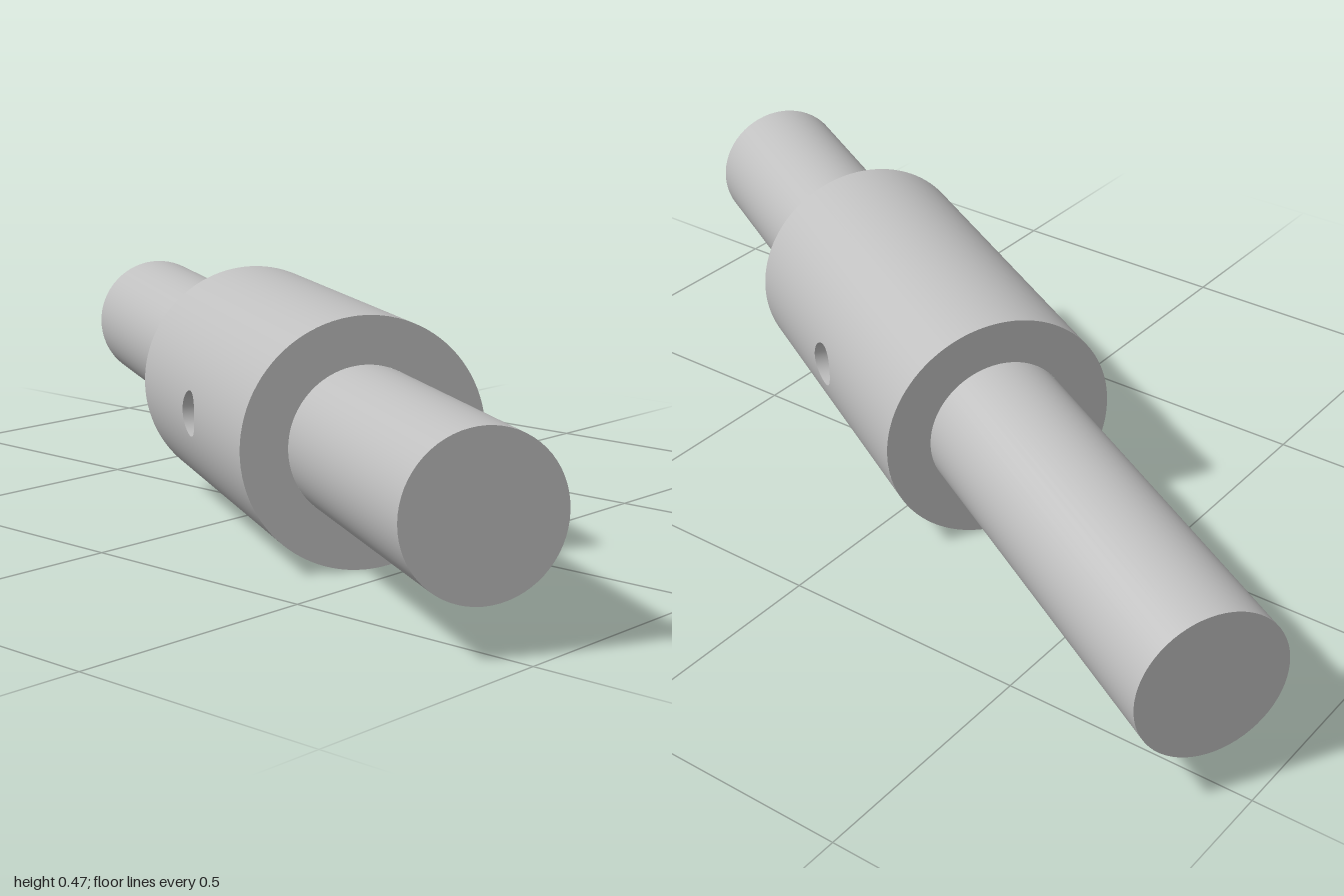
import * as THREE from 'three';
import { ParametricGeometry } from 'three/addons/geometries/ParametricGeometry.js';

const ROD_R = 0.145, ROD_HALF = 1.071;      // shaft
const R = 0.235, C0 = -0.22, C1 = 0.506;    // collar radius and ends along the shaft
const HOLE_R = 0.045, PATCH = 0.35;         // pin hole, half angle of the drilled strip
const MID = (C0 + C1) / 2, HALF = (C1 - C0) / 2;

export function createModel() {
  const model = new THREE.Group();
  model.name = 'collaredShaft';
  const body = new THREE.Group();
  body.name = 'shaftAssembly';
  model.add(body);
  const steel = new THREE.MeshStandardMaterial({ color: 0xbfbfbf });
  steel.name = 'greySteel';

  const add = (geometry, name, x = 0) => {
    const mesh = new THREE.Mesh(geometry, steel);
    mesh.name = name;
    mesh.position.x = x;
    body.add(mesh);
  };

  // Shaft: one stub on each side of the collar
  const stub = (from, to, name) =>
    add(new THREE.CylinderGeometry(ROD_R, ROD_R, to - from, 64).rotateZ(-Math.PI / 2), name, (from + to) / 2);
  stub(-ROD_HALF, C0, 'rightShaft');
  stub(C1, ROD_HALF, 'leftShaft');

  // Collar end faces
  for (const [side, x, name] of [[1, C1, 'collarLeftFace'], [-1, C0, 'collarRightFace']]) {
    add(new THREE.RingGeometry(ROD_R, R, 96).rotateY(side * Math.PI / 2), name, x);
  }

  // Collar wall: plain upper and lower panels
  for (const [start, name] of [[PATCH, 'collarBottom'], [Math.PI + PATCH, 'collarTop']]) {
    const panel = new THREE.CylinderGeometry(R, R, 2 * HALF, 40, 1, true, start, Math.PI - 2 * PATCH);
    add(panel.rotateZ(-Math.PI / 2), name, MID);
  }

  // Drilled strips: blend from the round hole edge out to the strip's rectangle
  const drilled = () => new ParametricGeometry((u, v, p) => {
    const a = v * Math.PI * 2, c = Math.cos(a), s = Math.sin(a);
    const m = Math.max(Math.abs(c), Math.abs(s));
    const x = THREE.MathUtils.lerp(HOLE_R * c, HALF * c / m, u);
    const t = THREE.MathUtils.lerp(Math.asin(HOLE_R * s / R), PATCH * s / m, u);
    p.set(x, R * Math.sin(t), R * Math.cos(t));
  }, 6, 64);
  add(drilled(), 'collarFrontStrip', MID);
  add(drilled().rotateX(Math.PI), 'collarBackStrip', MID);

  // Pin hole through the collar, ends trimmed to the curved wall, facing inward
  const bore = new THREE.CylinderGeometry(HOLE_R, HOLE_R, 2, 64, 1, true).rotateX(Math.PI / 2);
  const pos = bore.attributes.position;
  for (let i = 0; i < pos.count; i++) {
    pos.setZ(i, Math.sign(pos.getZ(i)) * Math.sqrt(R * R - pos.getY(i) ** 2));
  }
  bore.scale(-1, 1, 1);
  bore.computeVertexNormals();
  add(bore, 'pinHole', MID);

  // The shaft lies level, turned 30 degrees
  body.rotation.y = -Math.PI / 6;
  body.position.y = R;
  return model;
}
